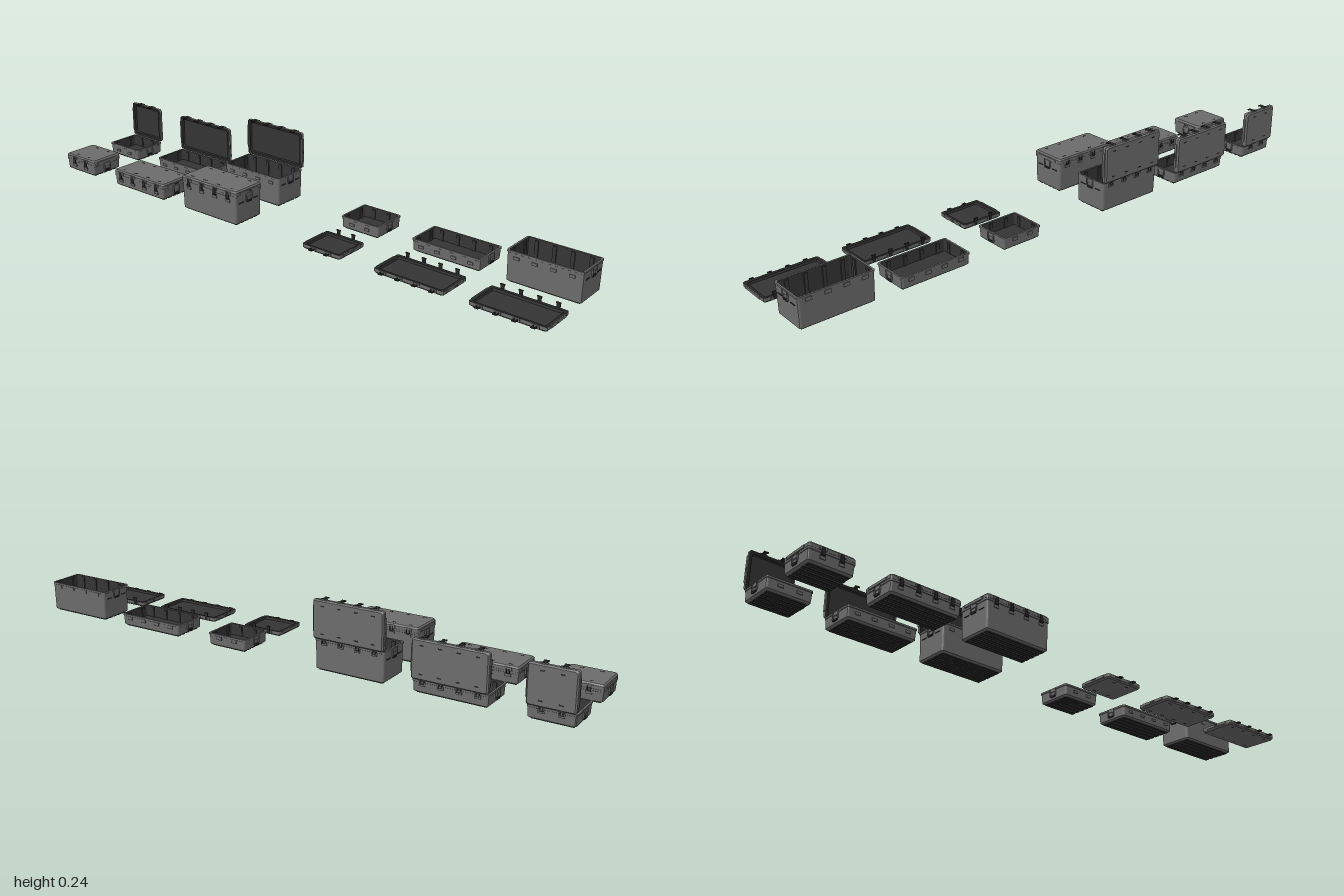
import * as THREE from 'three';

const shell = new THREE.MeshStandardMaterial({ color: 0x6c6c6c, flatShading: true });
const inside = new THREE.MeshStandardMaterial({ color: 0x343434, flatShading: true });
const dark = new THREE.MeshStandardMaterial({ color: 0x262626, flatShading: true });

const DEPTH = 0.128, LID_H = 0.016, PITCH = 0.06;

// Skin over rounded-rectangle rings; each profile point is [inset, y], inset null = centre
function loft(name, w, d, profile, mat, parent) {
  const pos = [], idx = [], seg = 3, n = 4 * (seg + 1);
  for (const [t, y] of profile) {
    const hw = t === null ? 0 : w / 2 - t, hd = t === null ? 0 : d / 2 - t;
    const r = t === null ? 0 : 0.007;
    for (let c = 0; c < 4; c++) {
      const sx = c === 0 || c === 3 ? 1 : -1, sz = c < 2 ? 1 : -1;
      for (let s = 0; s <= seg; s++) {
        const a = (c + s / seg) * Math.PI / 2;
        pos.push(sx * (hw - r) + r * Math.cos(a), y, sz * (hd - r) + r * Math.sin(a));
      }
    }
  }
  for (let i = 0; i < profile.length - 1; i++) {
    for (let j = 0; j < n; j++) {
      const k = (j + 1) % n, a = i * n + j, b = i * n + k;
      if (profile[i][0] !== null) idx.push(a, a + n, b);
      if (profile[i + 1][0] !== null) idx.push(b, a + n, b + n);
      else idx.push(a, a + n, b);
    }
  }
  const g = new THREE.BufferGeometry();
  g.setAttribute('position', new THREE.Float32BufferAttribute(pos, 3));
  g.setIndex(idx);
  const flat = g.toNonIndexed();
  flat.computeVertexNormals();
  const m = new THREE.Mesh(flat, mat);
  m.name = name;
  parent.add(m);
  return m;
}

function box(name, parent, mat, sx, sy, sz, x, y, z) {
  const m = new THREE.Mesh(new THREE.BoxGeometry(sx, sy, sz), mat);
  m.name = name;
  m.position.set(x, y, z);
  parent.add(m);
  return m;
}

const latchXs = (count) => Array.from({ length: count }, (_, i) => (i - (count - 1) / 2) * PITCH);

// Open box, centred on x and z, standing on y = 0
function makeBase({ w, h, count }) {
  const g = new THREE.Group();
  g.name = 'base';
  const d = DEPTH;
  loft('outerWall', w, d, [[null, 0.002], [0.01, 0.002], [0.003, 0.007], [0.0015, h - 0.007],
    [0, h - 0.006], [0, h], [0.006, h]], shell, g);
  loft('innerWall', w, d, [[0.006, h], [0.008, 0.006], [null, 0.006]], inside, g);

  // runners under the floor
  for (let i = -2; i <= 2; i++) box('runner', g, dark, w - 0.022, 0.003, 0.015, 0, 0.0015, i * 0.022);

  // wall ribs and catches along the long sides
  for (const x of latchXs(count)) {
    for (const s of [-1, 1]) {
      box('innerRib', g, inside, 0.012, h - 0.01, 0.004, x, h / 2, s * (d / 2 - 0.0085));
    }
    box('catch', g, shell, 0.018, 0.009, 0.003, x, h - 0.021, d / 2 + 0.0005);
    box('hingeSeat', g, shell, 0.02, 0.012, 0.003, x, h - 0.012, -d / 2 - 0.0005);
  }
  // end walls: handle bracket, grip, ribs and slots
  for (const s of [-1, 1]) {
    const x = s * w / 2;
    for (const z of [-0.013, 0.013]) box('handleCheek', g, shell, 0.004, 0.026, 0.004, x + s * 0.001, h - 0.015, z);
    box('handlePlate', g, shell, 0.003, 0.012, 0.024, x, h - 0.008, 0);
    box('handleGrip', g, dark, 0.004, 0.006, 0.022, x + s * 0.001, h - 0.03, 0);
    for (const z of [-0.035, 0.035]) {
      box('innerRib', g, inside, 0.004, h - 0.01, 0.012, s * (w / 2 - 0.0085), h / 2, z);
      if (h > 0.08) box('slot', g, dark, 0.002, 0.003, 0.022, x - s * 0.001, 0.077, z);
    }
  }
  return g;
}

// Lid with its rim on y = 0 and back edge on z = 0; tabs fold down when closed
function makeLid({ w, count }, closed) {
  const g = new THREE.Group();
  g.name = 'lid';
  const d = DEPTH, H = LID_H, body = new THREE.Group();
  body.name = 'lidBody';
  body.position.z = d / 2;
  g.add(body);
  loft('lidInside', w, d, [[null, 0.009], [0.011, 0.009], [0.01, 0.001]], inside, body);
  loft('lidRim', w, d, [[0.01, 0.001], [0.0, 0]], dark, body);
  loft('lidTop', w, d, [[0, 0], [0, 0.011], [0.004, H], [null, H]], shell, body);

  for (const x of latchXs(count)) {
    // front latch with hook
    box('latchBoss', body, shell, 0.024, 0.011, 0.005, x, 0.0065, d / 2);
    box('latch', body, dark, 0.012, 0.024, 0.0025, x, -0.002, d / 2 + 0.0025);
    box('latchHook', body, dark, 0.015, 0.004, 0.004, x, -0.013, d / 2 + 0.002);
    // dimples on the top
    for (const z of [-0.045, 0.045]) box('dimple', body, dark, 0.013, 0.001, 0.004, x, H, z);
    // hinge knuckle and tabs
    box('hingeBoss', body, shell, 0.024, 0.011, 0.004, x, 0.0065, -d / 2);
    const hinge = new THREE.Group();
    hinge.name = 'hinge';
    hinge.position.set(x, 0.005, -0.001);
    if (closed) hinge.rotation.x = -Math.PI / 2;
    for (const s of [-1, 1]) box('hingeTab', hinge, dark, 0.004, 0.003, 0.016, s * 0.005, 0.001, -0.007);
    box('hingeBar', hinge, dark, 0.014, 0.003, 0.004, 0, 0.001, -0.0135);
    g.add(hinge);
  }
  // end flanges
  for (const s of [-1, 1]) {
    box('endFlange', body, shell, 0.004, 0.009, 0.086, s * (w / 2 + 0.001), 0.005, 0);
    box('endClasp', body, dark, 0.005, 0.006, 0.02, s * (w / 2 + 0.0005), 0.005, 0);
  }
  return g;
}

function put(parent, part, x, y, z, rx = 0) {
  part.position.set(x, y, z);
  part.rotation.x = rx;
  parent.add(part);
}

export function createModel() {
  const root = new THREE.Group();
  root.name = 'crateSet';
  const sizes = [
    { label: 'small', w: 0.15, h: 0.045, count: 2, left: -0.922, right: 0.208 },
    { label: 'medium', w: 0.25, h: 0.045, count: 4, left: -0.608, right: 0.538 },
    { label: 'large', w: 0.25, h: 0.106, count: 4, left: -0.263, right: 0.872 },
  ];
  for (const s of sizes) {
    // closed crate in the front row
    const shut = new THREE.Group();
    shut.name = s.label + 'ClosedCrate';
    put(shut, makeBase(s), 0, 0, 0);
    put(shut, makeLid(s, true), 0, s.h + 0.0005, -DEPTH / 2);
    put(root, shut, s.left, 0, 0.111);

    // open crate behind it
    const open = new THREE.Group();
    open.name = s.label + 'OpenCrate';
    put(open, makeBase(s), 0, 0, -0.103);
    put(open, makeLid(s, false), 0, s.h + 0.003, -0.162, -Math.PI / 2);
    put(root, open, s.left, 0, 0);

    // separate base and upturned lid
    const loose = new THREE.Group();
    loose.name = s.label + 'LooseParts';
    put(loose, makeBase(s), 0, 0, -0.103);
    put(loose, makeLid(s, false), 0, LID_H + 0.0005, 0.162, Math.PI);
    put(root, loose, s.right, 0, 0);
  }
  return root;
}
